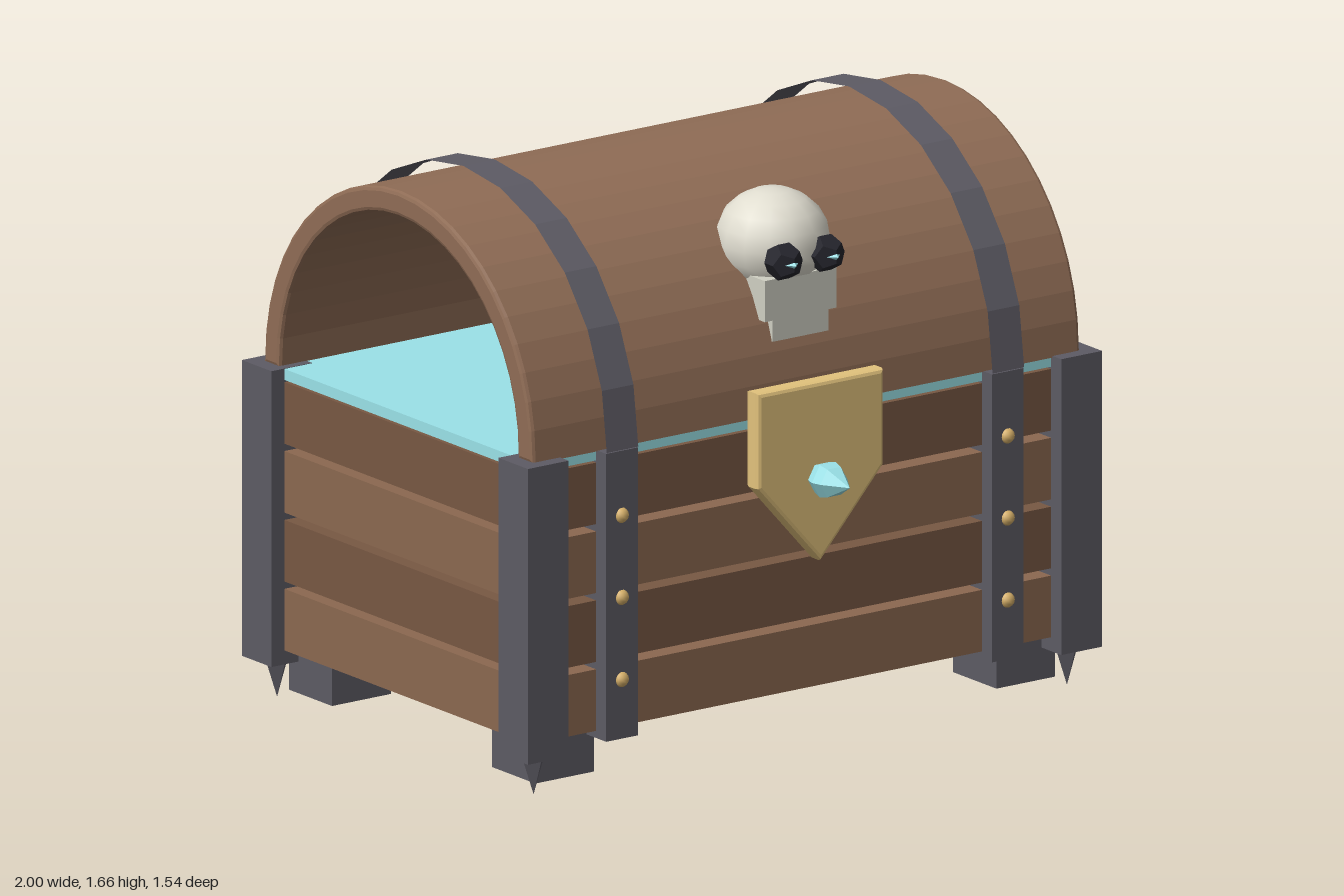
import * as THREE from 'three';

const mat = (color, extra = {}) => new THREE.MeshStandardMaterial({ color, ...extra });

export function createModel() {
  const root = new THREE.Group();
  root.name = 'treasureChest';

  const flat = { flatShading: true };
  const woodLight = mat(0x8b6850);
  const woodDark = mat(0x785843);
  const lidWood = mat(0x8f6c55, flat);
  const iron = mat(0x5d5b64, flat);
  const strapIron = mat(0x5d5b64, { flatShading: true, side: THREE.DoubleSide });
  const gold = mat(0xe2c27c, flat);
  const brass = mat(0xd6b06a);
  const crystal = mat(0x9ae2e8, flat);
  const bone = mat(0xe0ddd0);
  const jawBone = mat(0xcfcfc2);
  const black = mat(0x24242c, flat);

  const CZ = -0.075;   // middle of the chest in z
  const RIM = 0.98;    // height of the rim, where the lid rests

  function add(name, geometry, material, x = 0, y = 0, z = 0, parent = root) {
    const mesh = new THREE.Mesh(geometry, material);
    mesh.name = name;
    mesh.position.set(x, y, z);
    parent.add(mesh);
    return mesh;
  }
  const box = (w, h, d) => new THREE.BoxGeometry(w, h, d);

  // Body: four stacked layers of planks and the filling on top
  for (let i = 0; i < 4; i++) {
    add('plankLayer', box(1.91, 0.18, 1.26), i % 2 ? woodDark : woodLight, 0, 0.246 + i * 0.2015, CZ);
  }
  add('filling', box(1.91, 0.032, 1.26), crystal, 0, 0.963, CZ);

  // Corner posts with spikes, and feet
  const spike = new THREE.ConeGeometry(0.04, 0.115, 4);
  spike.rotateX(Math.PI);
  for (const sx of [-1, 1]) {
    for (const sz of [-1, 1]) {
      add('cornerPost', box(0.142, 0.865, 0.14), iron, sx * 0.929, 0.5475, CZ + sz * 0.608);
      add('postSpike', spike, iron, sx * 0.929, 0.0575, CZ + sz * 0.608);
      add('foot', box(0.205, 0.13, 0.205), iron, sx * 0.803, 0.087, CZ + sz * 0.482);
    }
  }

  // Lid: half-round shell, open at both ends
  const arch = new THREE.Shape();
  const bevel = 0.012;
  arch.absarc(0, 0, 0.637 - bevel, 0, Math.PI, false);
  arch.absarc(0, 0, 0.565 + bevel, Math.PI, 0, true);
  const lidGeo = new THREE.ExtrudeGeometry(arch, {
    depth: 1.91 - 2 * bevel, curveSegments: 12,
    bevelSize: bevel, bevelThickness: bevel, bevelSegments: 2,
  });
  lidGeo.translate(0, bevel, -(1.91 - 2 * bevel) / 2);
  lidGeo.rotateY(Math.PI / 2);
  add('lid', lidGeo, lidWood, 0, RIM - 0.005, CZ);

  // Straps: lower band through the body, thin hoop over the lid, studs
  const hoop = new THREE.CylinderGeometry(0.68, 0.68, 0.11, 12, 1, true, 0, Math.PI);
  hoop.rotateZ(Math.PI / 2);
  const stud = new THREE.SphereGeometry(0.023, 10, 8);
  for (const sx of [-1, 1]) {
    const strap = new THREE.Group();
    strap.name = 'strap';
    strap.position.set(sx * 0.672, 0, CZ);
    root.add(strap);
    add('strapBand', box(0.11, 0.842, 1.355), iron, 0, 0.556, 0, strap);
    add('strapHoop', hoop, strapIron, 0, RIM, 0, strap);
    for (const y of [0.308, 0.548, 0.788]) {
      for (const sz of [-1, 1]) add('stud', stud, brass, 0, y, sz * 0.672, strap);
    }
  }

  // Lock plate with a pointed lower end
  const shield = new THREE.Shape();
  shield.moveTo(-0.208, 1.058);
  shield.lineTo(-0.208, 0.795);
  shield.lineTo(0, 0.562);
  shield.lineTo(0.208, 0.795);
  shield.lineTo(0.208, 1.058);
  const plateGeo = new THREE.ExtrudeGeometry(shield, {
    depth: 0.034, bevelSize: 0.012, bevelThickness: 0.012, bevelSegments: 2,
  });
  add('lockPlate', plateGeo, gold, 0, 0, 0.587);

  // Six-sided crystal pointing forward
  const gemProfile = [[0, 0], [0.042, 0], [0.055, 0.045], [0.047, 0.075], [0, 0.15]]
    .map(([r, y]) => new THREE.Vector2(r, y));
  const gem = new THREE.LatheGeometry(gemProfile, 6);
  gem.rotateY(Math.PI / 6);
  gem.rotateX(Math.PI / 2);
  add('lockCrystal', gem, crystal, 0, 0.79, 0.618);

  // Skull ornament on the lid
  const skull = new THREE.Group();
  skull.name = 'skull';
  root.add(skull);
  add('cranium', new THREE.SphereGeometry(0.165, 14, 10), bone, 0, 1.434, 0.4, skull).scale.set(1, 0.91, 0.99);
  add('upperJaw', box(0.25, 0.12, 0.16), jawBone, 0, 1.302, 0.455, skull);
  add('lowerJaw', box(0.195, 0.08, 0.13), jawBone, 0, 1.22, 0.47, skull);
  for (const sx of [-1, 1]) {
    add('eyeSocket', new THREE.DodecahedronGeometry(0.056), black, sx * 0.073, 1.415, 0.553, skull);
    add('eyeCrystal', new THREE.OctahedronGeometry(0.026), crystal, sx * 0.073, 1.415, 0.588, skull);
  }

  return root;
}
